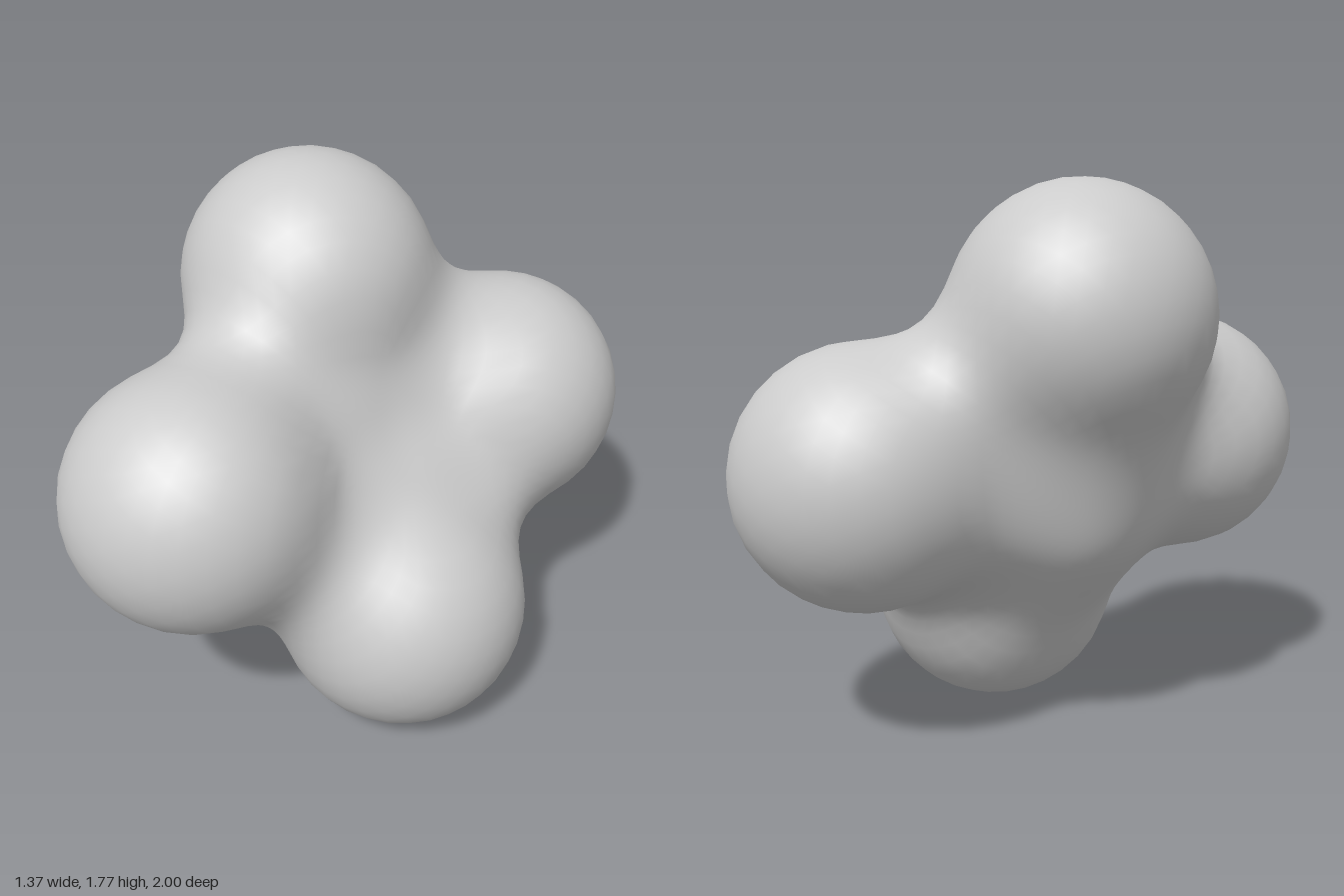
import * as THREE from 'three';
import { mergeVertices } from 'three/addons/utils/BufferGeometryUtils.js';

// Four lobes in a ring around a smaller core set towards the lower back side.
// reach: distance at which a ball's influence ends
const ball = (x, y, z, reach) => ({ centre: new THREE.Vector3(x, y, z), reach });
const balls = [
  ball(-0.10, 0.81, -0.02, 0.61),  // core
  ball(-0.275, 1.36, -0.09, 0.717), // top lobe
  ball(-0.11, 0.92, 0.59, 0.717),   // front lobe
  ball(0.15, 0.88, -0.59, 0.717),   // back lobe
  ball(0.275, 0.41, 0.07, 0.717),   // bottom lobe
];
const MIDDLE = new THREE.Vector3(-0.04, 0.86, -0.01); // every skin point is seen from here
const THRESHOLD = 0.3; // field value on the skin

// Sum of the soft falloffs of all balls
function field(p) {
  let sum = 0;
  for (const { centre, reach } of balls) {
    const k = 1 - p.distanceToSquared(centre) / (reach * reach);
    if (k > 0) sum += k * k * k;
  }
  return sum;
}

// Distance from the middle to the skin along a direction
function skinRadius(dir) {
  const p = new THREE.Vector3();
  const inside = (r) => field(p.copy(MIDDLE).addScaledVector(dir, r)) > THRESHOLD;
  let r = 1.4;
  while (r > 0.05 && !inside(r)) r -= 0.02;
  let lo = r, hi = r + 0.02;
  for (let i = 0; i < 14; i++) {
    const mid = (lo + hi) / 2;
    if (inside(mid)) lo = mid; else hi = mid;
  }
  return lo;
}

export function createModel() {
  const group = new THREE.Group();
  group.name = 'blob';

  // Even sphere with shared vertices, pushed out to the blended skin
  let geometry = new THREE.IcosahedronGeometry(1, 14);
  geometry.deleteAttribute('uv');
  geometry.deleteAttribute('normal');
  geometry = mergeVertices(geometry, 1e-4);
  const pos = geometry.attributes.position;
  const dir = new THREE.Vector3();
  for (let i = 0; i < pos.count; i++) {
    dir.fromBufferAttribute(pos, i).normalize();
    const r = skinRadius(dir);
    dir.multiplyScalar(r).add(MIDDLE);
    pos.setXYZ(i, dir.x, dir.y, dir.z);
  }
  geometry.computeVertexNormals();

  const body = new THREE.Mesh(geometry, new THREE.MeshStandardMaterial({ color: 0xcccccc }));
  body.name = 'blendedLobes';
  group.add(body);
  return group;
}
